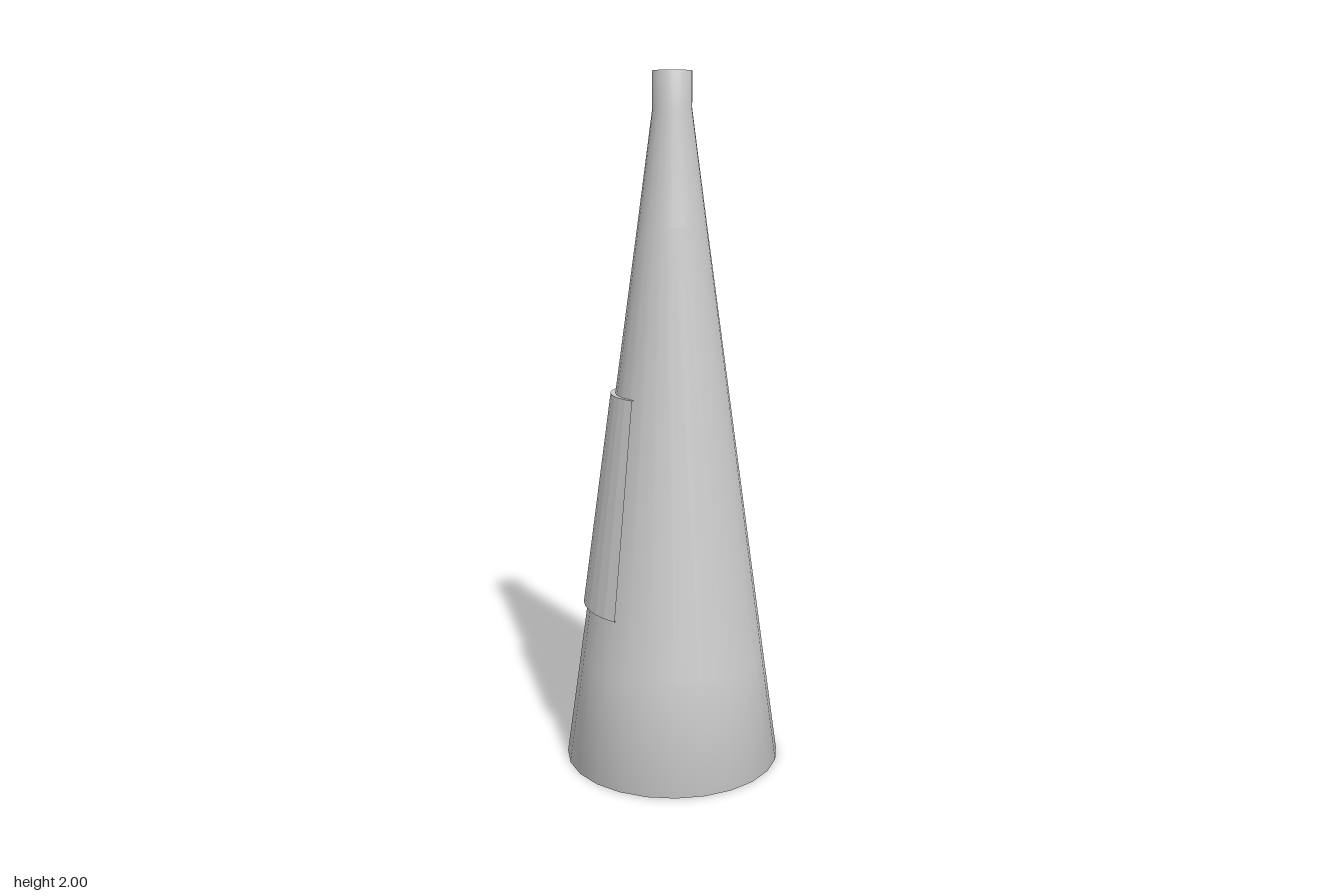
import * as THREE from 'three';

const SIDES = 24;
const points = (list) => list.map(([r, y]) => new THREE.Vector2(r, y));

export function createModel() {
  const model = new THREE.Group();
  model.name = 'taperedTower';

  const gray = new THREE.MeshStandardMaterial({ color: 0xcccccc, side: THREE.DoubleSide });
  gray.name = 'light gray';

  // Tapered body with a short straight neck; the rims are softly shaded into the caps
  const body = new THREE.Mesh(
    new THREE.LatheGeometry(points([
      [0, 0], [0.23, 0], [0.317, 0], [0.272, 0.32], [0.098, 1.58],
      [0.055, 1.9], [0.055, 2], [0.035, 2], [0, 2],
    ]), SIDES),
    gray
  );
  body.name = 'taperedBody';
  model.add(body);

  // Curved panel wrapped round the right side, shifted outward so its ends lie nearly flush
  const halfSpan = THREE.MathUtils.degToRad(66);
  const panelGeometry = new THREE.LatheGeometry(points([
    [0.235, 0.48], [0.252, 0.48], [0.167, 1.105], [0.15, 1.105],
  ]), 14, Math.PI * 1.5 - halfSpan, halfSpan * 2).toNonIndexed();
  panelGeometry.translate(-0.011, 0, 0);
  panelGeometry.computeVertexNormals();
  const panel = new THREE.Mesh(panelGeometry, gray);
  panel.name = 'sidePanel';
  model.add(panel);

  return model;
}
